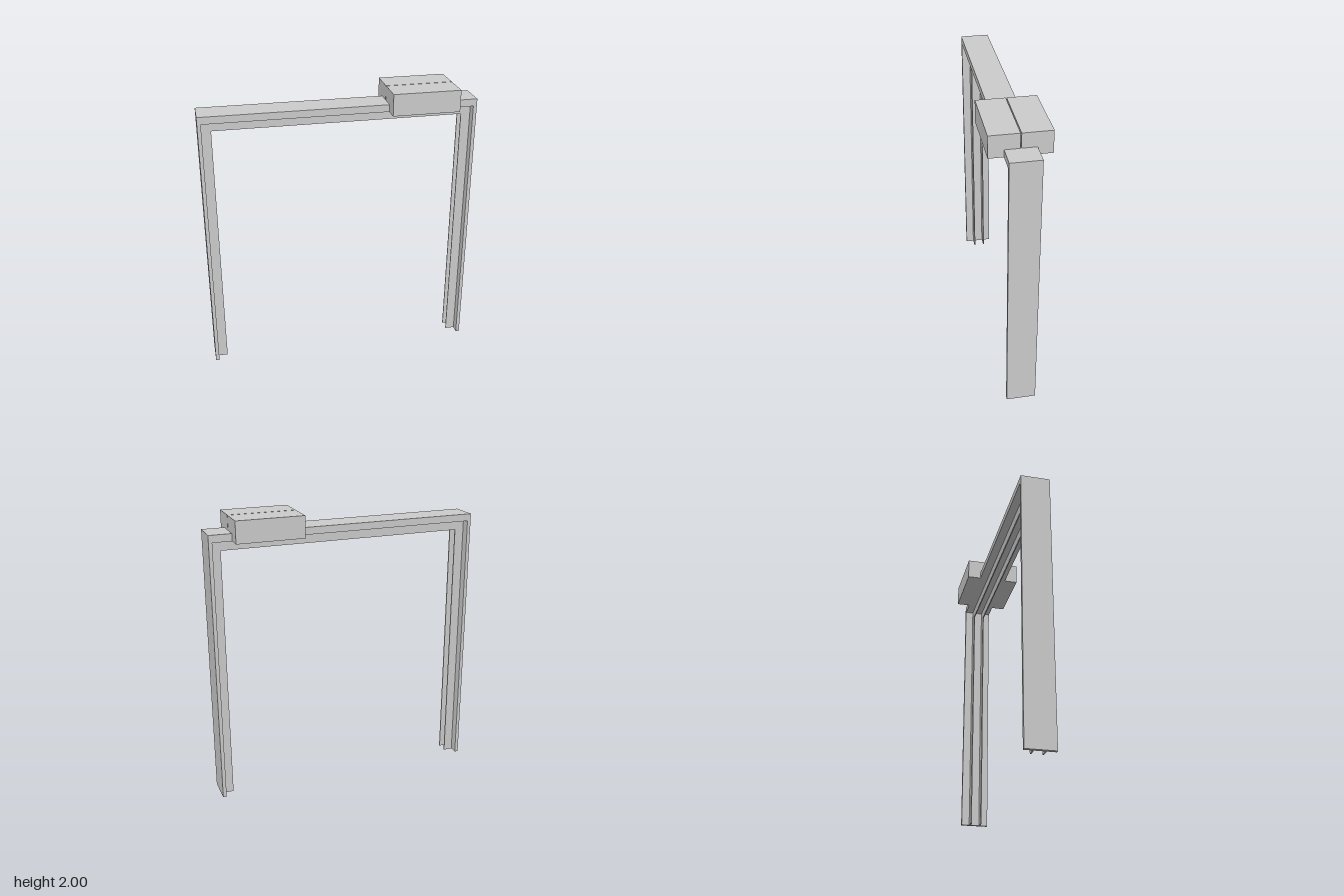
import * as THREE from 'three';

const material = new THREE.MeshStandardMaterial({ color: 0xcccccc, flatShading: true });

// Upside-down U standing on the floor, extruded along z around its centre z
function portal(name, outerX, outerY, innerX, innerY, depth, z) {
  const shape = new THREE.Shape([
    [-outerX, 0], [-innerX, 0], [-innerX, innerY], [innerX, innerY],
    [innerX, 0], [outerX, 0], [outerX, outerY], [-outerX, outerY],
  ].map(([x, y]) => new THREE.Vector2(x, y)));
  const geometry = new THREE.ExtrudeGeometry(shape, { depth, bevelEnabled: false });
  geometry.translate(0, 0, z - depth / 2);
  const mesh = new THREE.Mesh(geometry, material);
  mesh.name = name;
  return mesh;
}

export function createModel() {
  const model = new THREE.Group();
  model.name = 'doorFrame';

  // Wide outer lining: two jambs and a head
  model.add(portal('outerFrame', 0.95, 1.9, 0.925, 1.85, 0.2, 0));

  for (const side of [1, -1]) {
    const label = side > 0 ? 'front' : 'back';

    // Thin guide fin running round the inside of the lining
    model.add(portal(label + 'GuideFin', 0.925, 1.85, 0.86, 1.78, 0.008, side * 0.038));

    // Half of the split housing that straddles the head
    const housing = new THREE.Mesh(new THREE.BoxGeometry(0.465, 0.15, 0.194), material);
    housing.name = label + 'HousingHalf';
    housing.position.set(0.5625, 1.925, side * 0.1);
    model.add(housing);
  }
  return model;
}
